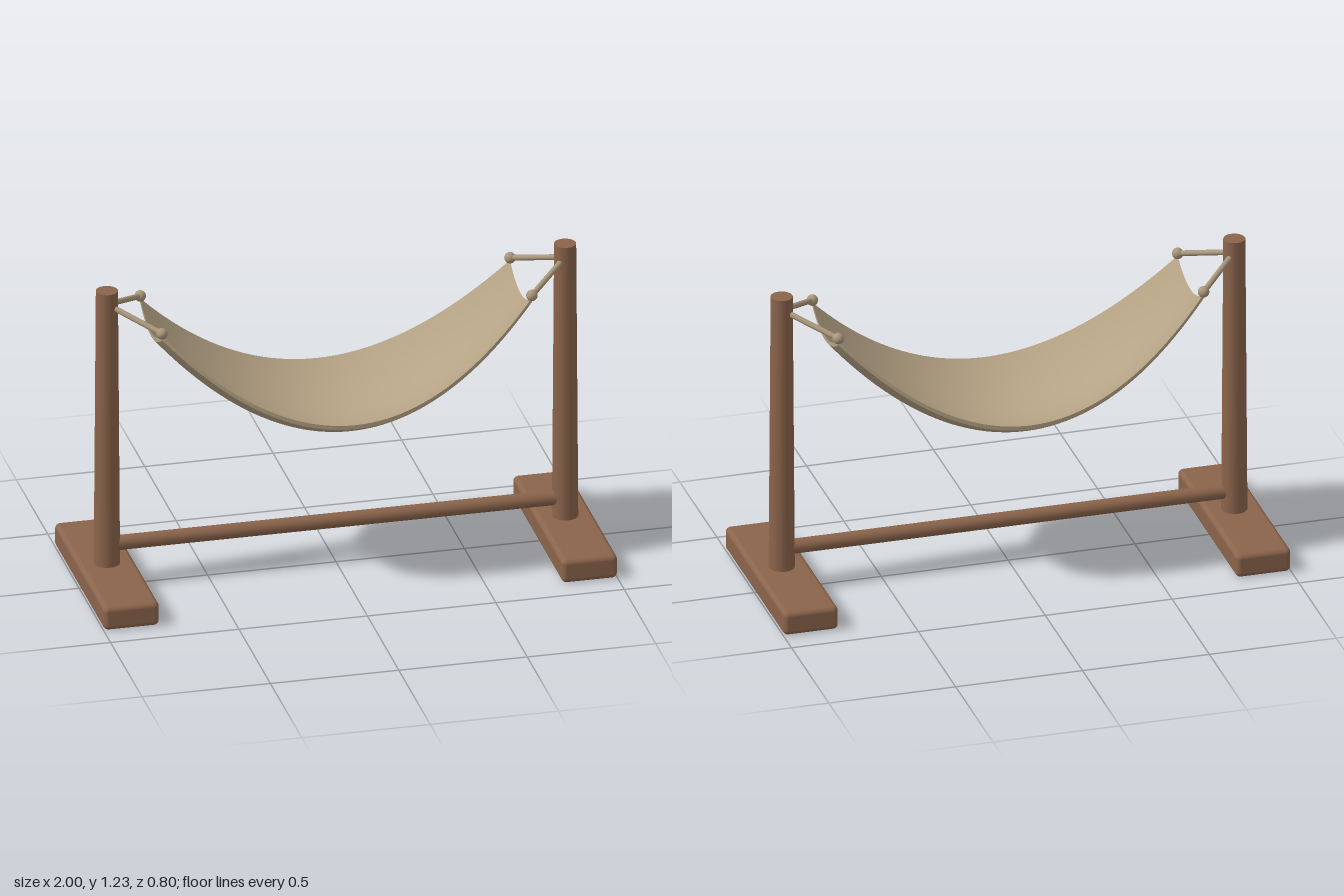
import * as THREE from 'three';
import { mergeGeometries } from 'three/addons/utils/BufferGeometryUtils.js';
import { RoundedBoxGeometry } from 'three/addons/geometries/RoundedBoxGeometry.js';
import { ParametricGeometry } from 'three/addons/geometries/ParametricGeometry.js';

const POST_X = 0.892;
const CLOTH_X = 0.72;
const THICKNESS = 0.017;

// Point on the cloth: s runs along x (-1..1), t across z (-1..1), k from underside (0) to upper side (1)
function clothPoint(s, t, k, target) {
  const halfWidth = 0.31 - 0.135 * s * s;
  const edgeY = 0.71 + 0.39 * s * s;
  const sag = 0.098 - 0.036 * s * s;
  target.set(CLOTH_X * s, edgeY - sag * (1 - t * t) - THICKNESS * (1 - k), halfWidth * t);
}

// Closed sagging sheet: upper side, underside and four thin rims
function clothGeometry() {
  const span = (a) => a * 2 - 1;
  const face = (map, nu, nv) =>
    new ParametricGeometry((u, v, p) => clothPoint(...map(u, v), p), nu, nv);
  return mergeGeometries([
    face((u, v) => [span(v), span(u), 1], 24, 48),
    face((u, v) => [span(u), span(v), 0], 48, 24),
    face((u, v) => [span(u), 1, v], 48, 1),
    face((u, v) => [-span(u), -1, v], 48, 1),
    face((u, v) => [1, span(v), u], 1, 24),
    face((u, v) => [-1, -span(v), u], 1, 24),
  ]);
}

// Round bar between two points
function bar(a, b, radius, material) {
  const dir = b.clone().sub(a);
  const mesh = new THREE.Mesh(new THREE.CylinderGeometry(radius, radius, dir.length(), 20), material);
  mesh.position.copy(a).add(b).multiplyScalar(0.5);
  mesh.quaternion.setFromUnitVectors(new THREE.Vector3(0, 1, 0), dir.normalize());
  return mesh;
}

export function createModel() {
  const material = (name, color) => {
    const m = new THREE.MeshStandardMaterial({ color });
    m.name = name;
    return m;
  };
  const wood = material('brown wood', 0x8b644b);
  const fabric = material('tan fabric', 0xb5a284);
  const rope = material('rope', 0xa8967a);

  const model = new THREE.Group();
  model.name = 'hammock';
  const add = (name, mesh, x, y, z) => {
    mesh.name = name;
    if (x !== undefined) mesh.position.set(x, y, z);
    model.add(mesh);
  };

  for (const [side, sx] of [['left', 1], ['right', -1]]) {
    // Foot and tapered post
    add(side + 'Foot', new THREE.Mesh(new RoundedBoxGeometry(0.216, 0.096, 0.8, 4, 0.02), wood),
      sx * POST_X, 0.048, 0);
    add(side + 'Post', new THREE.Mesh(new THREE.CylinderGeometry(0.042, 0.05, 1.15, 32), wood),
      sx * POST_X, 0.655, 0);

    // Ropes and knots at the cloth corners
    for (const [end, sz] of [['Front', 1], ['Back', -1]]) {
      const corner = new THREE.Vector3(sx * CLOTH_X, 1.11, sz * 0.174);
      const anchor = new THREE.Vector3(sx * POST_X, 1.173, 0);
      add(side + end + 'Rope', bar(corner, anchor, 0.011, rope));
      add(side + end + 'Knot', new THREE.Mesh(new THREE.SphereGeometry(0.022, 20, 14), rope),
        corner.x, corner.y, corner.z);
    }
  }

  // Cross bar between the posts
  add('crossBar', bar(new THREE.Vector3(-0.87, 0.174, 0), new THREE.Vector3(0.87, 0.174, 0), 0.029, wood));

  // Hanging cloth
  add('cloth', new THREE.Mesh(clothGeometry(), fabric));

  return model;
}
